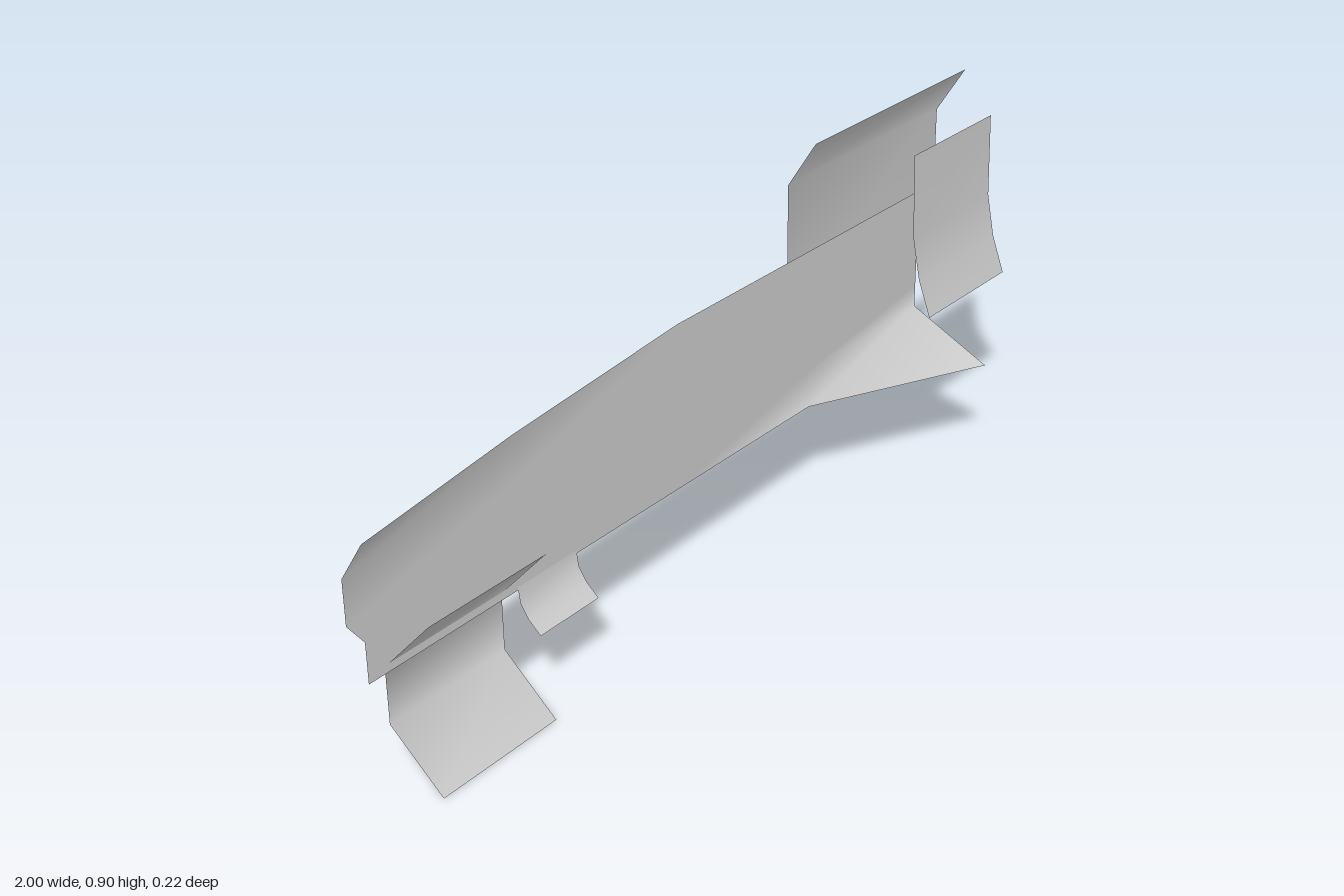
import * as THREE from 'three';

const material = new THREE.MeshStandardMaterial({ color: 0xcccccc, side: THREE.DoubleSide });

// Open sheet lofted through rows of [x, y, z] points, listed bottom to top, each running left to right
function loft(name, rows) {
  const cols = rows[0].length;
  const index = [];
  for (let i = 0; i < rows.length - 1; i++) {
    for (let j = 0; j < cols - 1; j++) {
      const a = i * cols + j, b = a + 1, d = a + cols, c = d + 1;
      index.push(a, b, c, a, c, d);
    }
  }
  const geometry = new THREE.BufferGeometry();
  geometry.setAttribute('position', new THREE.Float32BufferAttribute(rows.flat(2), 3));
  geometry.setIndex(index);
  geometry.computeVertexNormals();
  const mesh = new THREE.Mesh(geometry, material);
  mesh.name = name;
  return mesh;
}

// Bent panel: a [y, z, xShift] profile swept along x
function panel(name, x0, x1, profile) {
  return loft(name, profile.map(([y, z, dx = 0]) => [[x0 + dx, y, z], [x1 + dx, y, z]]));
}

export function createModel() {
  const group = new THREE.Group();
  group.name = 'bentSheetAssembly';

  // Long flat body with one corner flared at each end
  const base = -0.09;
  const xs = [-1, -0.56, -0.07, 0.38, 0.79];
  const topY = [0.585, 0.585, 0.625, 0.625, 0.625];
  const levels = [0.243, 0.335, 0.39, 0.49, null];
  const rows = levels.map((y, i) => xs.map((x, j) => {
    const notched = j === 0 && i < 2;
    let z = base;
    if (y === null && j === 0) z = -0.03;
    if (i === 0 && j === xs.length - 1) z = 0.11;
    return [notched ? -0.96 : x, y ?? topY[j], z];
  }));
  group.add(loft('mainBody', rows));

  // Raised panel behind the body, top bent forward
  group.add(panel('upperPanel', 0.32, 0.88, [[0.47, -0.11], [0.79, -0.11], [0.9, -0.04]]));

  // End panel curving forward at the bottom
  group.add(panel('endPanel', 0.69, 1, [[0.375, 0.017], [0.46, -0.015], [0.56, -0.035], [0.755, -0.04]]));

  // Channel-shaped foot, open to the front
  group.add(panel('foot', -0.91, -0.6, [[0, 0.02, 0.01], [0.12, -0.1], [0.25, -0.1], [0.385, 0.02, 0.004]]));

  // Small curved tab under the body
  group.add(panel('lowerTab', -0.565, -0.395, [[0.16, -0.035], [0.185, -0.065], [0.215, -0.085], [0.25, base]]));

  return group;
}
